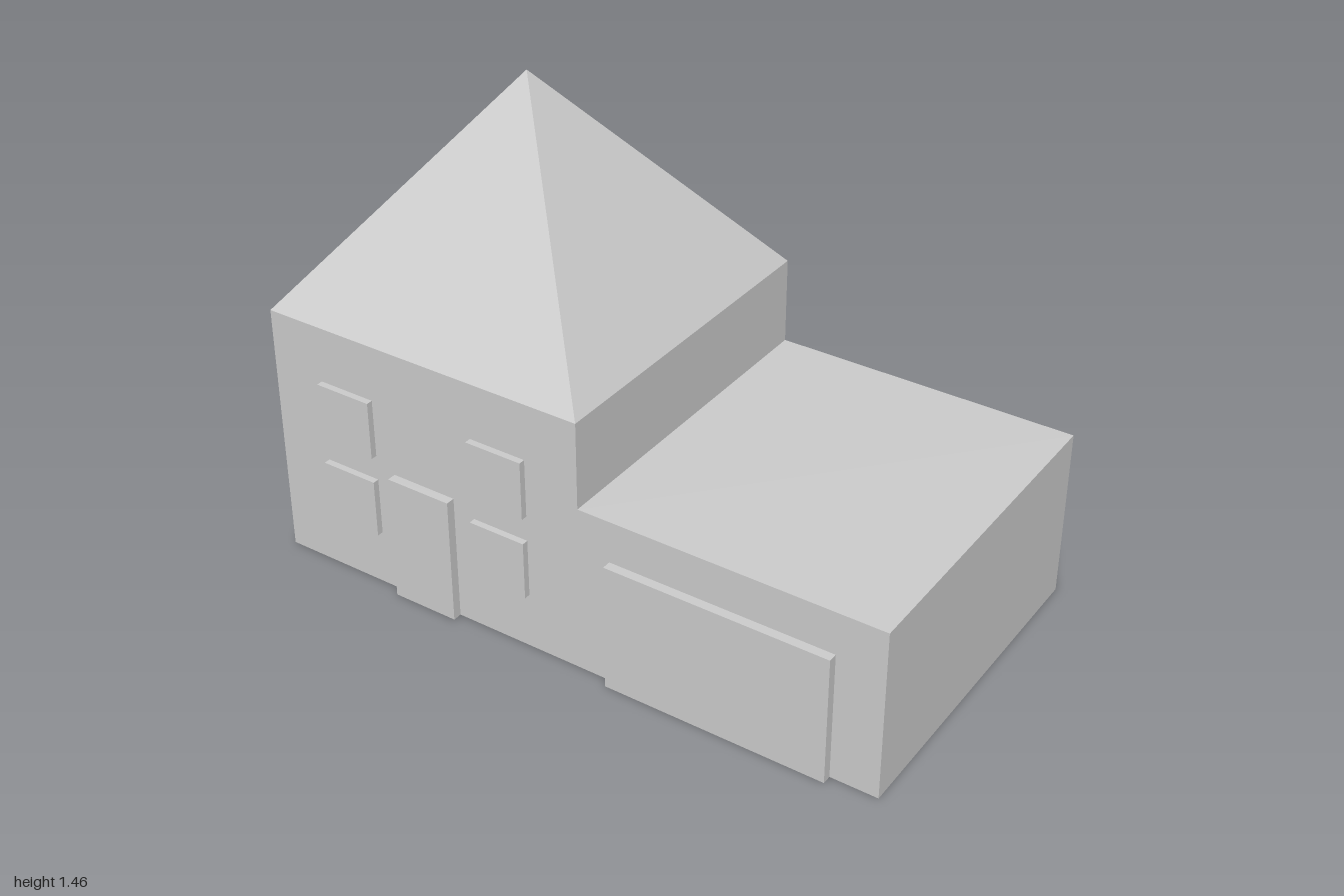
import * as THREE from 'three';

const BACK = -0.54, FRONT = 0.512, LEFT_WALL = -0.98, INNER = 0.07;

export function createModel() {
  const house = new THREE.Group();
  house.name = 'house';
  const material = new THREE.MeshStandardMaterial({ color: 0xcccccc, flatShading: true });

  // Box given by its extents along each axis
  function block(name, [x0, x1], [y0, y1], [z0, z1]) {
    const mesh = new THREE.Mesh(new THREE.BoxGeometry(x1 - x0, y1 - y0, z1 - z0), material);
    mesh.position.set((x0 + x1) / 2, (y0 + y1) / 2, (z0 + z1) / 2);
    mesh.name = name;
    house.add(mesh);
  }

  // Two-storey main block and the lower flat-roofed garage
  block('mainWalls', [LEFT_WALL, INNER], [0, 0.797], [BACK, FRONT]);
  block('garageWalls', [INNER, 1], [0, 0.53], [BACK, FRONT]);

  // Pyramid roof: a four-sided cone turned square to the walls
  const width = INNER - LEFT_WALL, depth = FRONT - BACK, rise = 0.663;
  const pyramid = new THREE.ConeGeometry(Math.SQRT1_2, rise, 4);
  pyramid.rotateY(Math.PI / 4);
  pyramid.scale(width, 1, depth);
  const roof = new THREE.Mesh(pyramid, material);
  roof.position.set((LEFT_WALL + INNER) / 2, 0.797 + rise / 2, (BACK + FRONT) / 2);
  roof.name = 'roof';
  house.add(roof);

  // Raised door panels
  block('frontDoor', [-0.563, -0.353], [0, 0.4], [FRONT, 0.54]);
  block('garageDoor', [0.17, 0.856], [0, 0.4], [FRONT, 0.54]);

  // Raised windows, two by two on the front and on the side
  const size = 0.182;
  for (const y of [0.178, 0.44]) {
    for (const x of [-0.808, -0.283]) {
      block('frontWindow', [x, x + size], [y, y + size], [FRONT, 0.532]);
    }
    for (const z of [-0.37, 0.155]) {
      block('sideWindow', [-1, LEFT_WALL], [y, y + size], [z, z + size]);
    }
  }

  return house;
}
